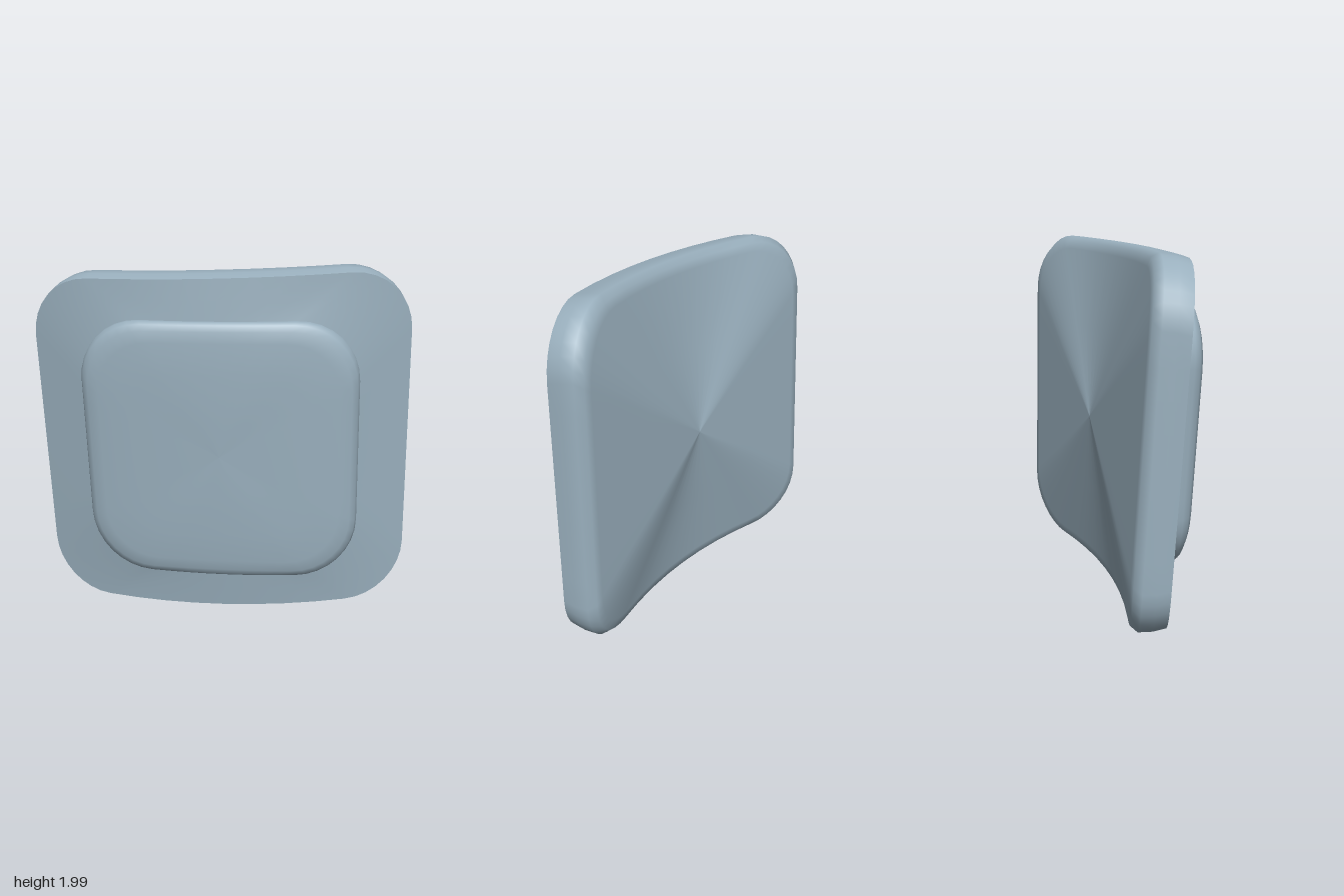
import * as THREE from 'three';

const CORNER = 8, EDGE = 8;
const TWIST = -0.02;

// Rounded-rectangle loop, counter-clockwise from the front. Top and bottom edges
// bow forward; the outline is slightly skewed and twisted.
function loop(halfW, halfH, radius, depth, bow, skew) {
  const flat = [];
  const corners = [[1, 1], [-1, 1], [-1, -1], [1, -1]];
  corners.forEach(([sx, sy], q) => {
    for (let i = 0; i <= CORNER; i++) {
      const a = (q + i / CORNER) * Math.PI / 2;
      flat.push([sx * (halfW - radius) + radius * Math.cos(a), sy * (halfH - radius) + radius * Math.sin(a)]);
    }
  });
  const points = [];
  flat.forEach(([x, y], i) => {
    points.push([x, y]);
    if (i % (CORNER + 1) === CORNER) { // subdivide the straight edge to the next corner
      const [x2, y2] = flat[(i + 1) % flat.length];
      for (let k = 1; k < EDGE; k++) points.push([x + (x2 - x) * k / EDGE, y + (y2 - y) * k / EDGE]);
    }
  });
  return points.map(([x, y]) =>
    new THREE.Vector3(x, y + skew * x, depth + bow * (1 - (x / halfW) ** 2) + TWIST * x * y));
}

const plateLoop = (halfW, halfH, depth, bow) => loop(halfW, halfH, 0.33, depth, bow, 0.012);
const padLoop = (halfW, halfH, radius, depth, bow) => loop(halfW, halfH, radius, depth, bow, -0.014);

// Loop shrunk to a single point on the axis
const centre = (like, depth) => like.map(() => new THREE.Vector3(0, 0, depth));

// Loop part-way between two others
const blend = (a, b, t) => a.map((p, i) => p.clone().lerp(b[i], t));

// Smooth skin through a list of loops
function skin(name, loops, material) {
  const n = loops[0].length, index = [];
  for (let j = 0; j < loops.length - 1; j++) {
    for (let i = 0; i < n; i++) {
      const a = j * n + i, b = j * n + (i + 1) % n;
      index.push(a, b, b + n, a, b + n, a + n);
    }
  }
  const geometry = new THREE.BufferGeometry().setFromPoints(loops.flat());
  geometry.setIndex(index);
  geometry.computeVertexNormals();
  const mesh = new THREE.Mesh(geometry, material);
  mesh.name = name;
  return mesh;
}

export function createModel() {
  const shell = new THREE.MeshStandardMaterial({ color: 0x9ab0be });
  shell.name = 'blueGrey';

  const plate = new THREE.Group();
  plate.name = 'curvedPlate';

  // Saddle-shaped back running smoothly round into the rim
  const backEdge = plateLoop(0.965, 0.95, -0.135, 0.19);
  const backCentre = centre(backEdge, -0.083);
  const frontEdge = plateLoop(1.03, 0.955, 0.04, 0.2);
  plate.add(skin('backAndRim', [
    backCentre,
    blend(backCentre, backEdge, 0.5),
    blend(backCentre, backEdge, 0.95),
    backEdge,
    plateLoop(1.0, 0.975, -0.1, 0.19),
    plateLoop(1.02, 0.97, -0.03, 0.195),
    frontEdge,
  ], shell));

  // Sloping border between the rim and the pad
  const padFoot = padLoop(0.755, 0.735, 0.34, 0.16, 0.1);
  plate.add(skin('frontSlope', [frontEdge, blend(frontEdge, padFoot, 0.5), padFoot], shell));

  // Gently domed pad with a rounded shoulder
  plate.add(skin('raisedPad', [
    padFoot,
    padLoop(0.752, 0.735, 0.34, 0.2, 0.08),
    padLoop(0.74, 0.722, 0.335, 0.235, 0.06),
    padLoop(0.71, 0.69, 0.32, 0.262, 0.045),
    padLoop(0.65, 0.63, 0.29, 0.28, 0.035),
    padLoop(0.48, 0.465, 0.21, 0.303, 0.02),
    padLoop(0.24, 0.23, 0.1, 0.317, 0.008),
    centre(padFoot, 0.322),
  ], shell));

  // Turned to one side with a slight lean and roll
  plate.rotation.set(0.035, THREE.MathUtils.degToRad(28.8), 0.02, 'YXZ');

  const model = new THREE.Group();
  model.name = 'panel';
  model.add(plate);
  const box = new THREE.Box3().setFromObject(model, true);
  const mid = box.getCenter(new THREE.Vector3());
  plate.position.set(-mid.x, -box.min.y, -mid.z);
  return model;
}
